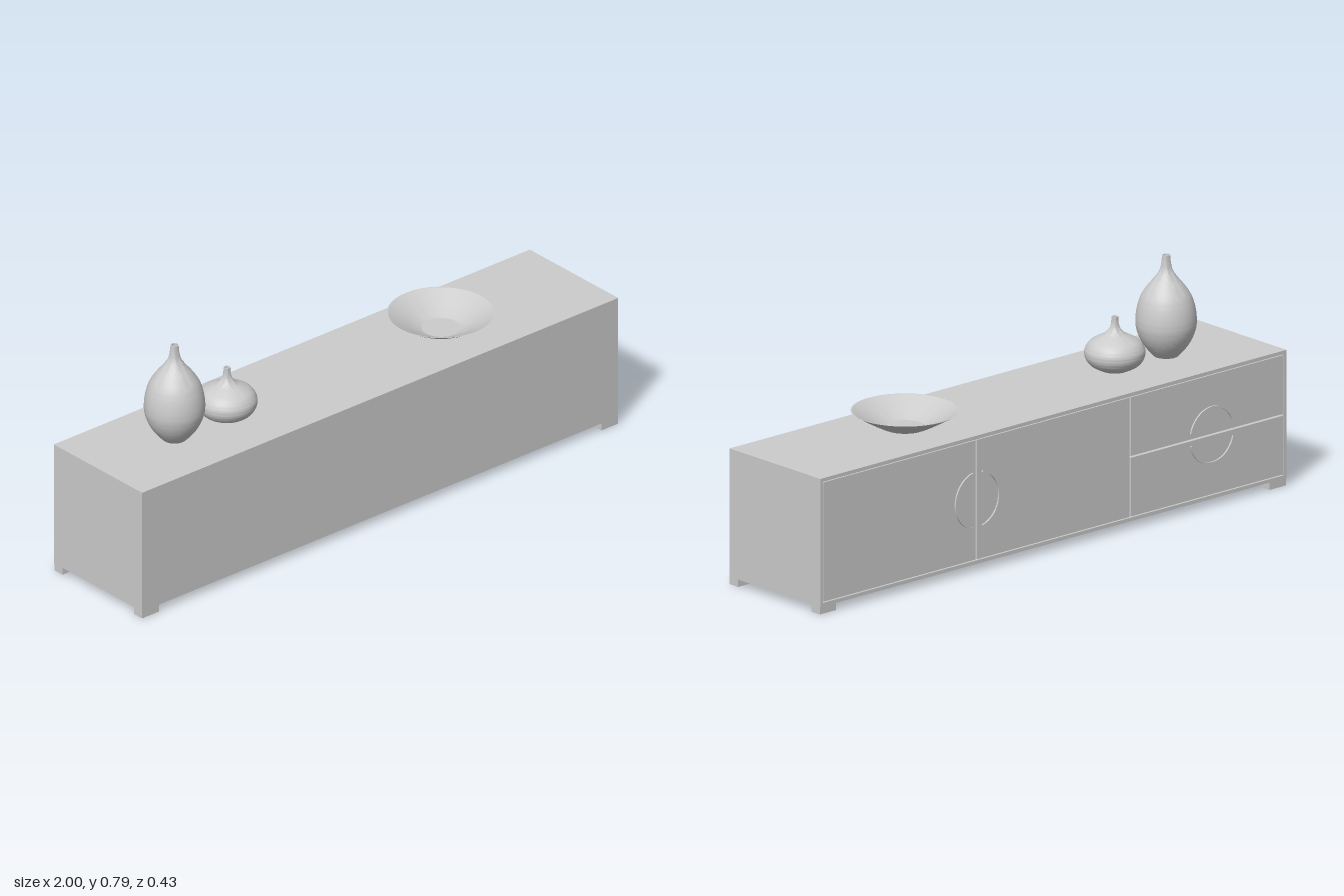
import * as THREE from 'three';
import { toCreasedNormals } from 'three/addons/utils/BufferGeometryUtils.js';

const material = new THREE.MeshStandardMaterial({ color: 0xcccccc });
const thin = new THREE.MeshStandardMaterial({ color: 0xcccccc, side: THREE.DoubleSide });

const FRONT = 0.217, BACK = -0.2125, BOTTOM = 0.025, TOP = 0.453;
const RIM = 0.012, GAP = 0.006, CORE_BACK = -0.196;

export function createModel() {
  const model = new THREE.Group();
  model.name = 'sideboard';

  const add = (parent, name, geometry, mat = material) => {
    const mesh = new THREE.Mesh(geometry, mat);
    mesh.name = name;
    parent.add(mesh);
    return mesh;
  };
  // Box given by its extents on each axis
  const box = (parent, name, x0, x1, y0, y1, z0, z1) => {
    const mesh = add(parent, name, new THREE.BoxGeometry(x1 - x0, y1 - y0, z1 - z0));
    mesh.position.set((x0 + x1) / 2, (y0 + y1) / 2, (z0 + z1) / 2);
  };

  // Cabinet body, with a raised rim around the door side
  const cabinet = new THREE.Group();
  cabinet.name = 'cabinet';
  model.add(cabinet);
  box(cabinet, 'body', -1, 1, BOTTOM, TOP, CORE_BACK, FRONT);

  const rect = (path, x, y0, y1) =>
    path.moveTo(-x, y0).lineTo(x, y0).lineTo(x, y1).lineTo(-x, y1).closePath();
  const rimShape = rect(new THREE.Shape(), 1, BOTTOM, TOP);
  rimShape.holes.push(rect(new THREE.Path(), 1 - RIM, BOTTOM + RIM, TOP - RIM));
  const rim = add(cabinet, 'rim', new THREE.ExtrudeGeometry(rimShape, { depth: CORE_BACK - BACK, bevelEnabled: false }));
  rim.position.z = BACK;

  // Two doors and two stacked drawers, separated by narrow grooves
  const low = BOTTOM + RIM + GAP / 2, high = TOP - RIM - GAP / 2;
  const side = 1 - RIM - GAP / 2, split = 0.33, mid = 0.239, g = GAP / 2;
  const panelBack = BACK + 0.001;
  const panel = (name, x0, x1, y0, y1) => box(cabinet, name, x0, x1, y0, y1, panelBack, CORE_BACK);
  panel('leftDoor', split + g, side, low, high);
  panel('middleDoor', -split + g, split - g, low, high);
  panel('upperDrawer', -side, -split - g, mid + g, high);
  panel('lowerDrawer', -side, -split - g, low, mid - g);

  // Each pair of handles forms a split ring across a groove
  const handle = (name, x, start) => {
    const open = 0.22, a = start + open, b = start + Math.PI - open;
    const arc = new THREE.Shape();
    arc.absarc(0, 0, 0.096, a, b, false);
    arc.absarc(0, 0, 0.09, b, a, true);
    const mesh = add(cabinet, name, new THREE.ExtrudeGeometry(arc, { depth: 0.006, bevelEnabled: false, curveSegments: 24 }));
    mesh.position.set(x, mid, -0.217);
  };
  handle('leftDoorHandle', split - 0.003, -Math.PI / 2);
  handle('middleDoorHandle', split - 0.003, Math.PI / 2);
  handle('upperDrawerHandle', -0.68, 0);
  handle('lowerDrawerHandle', -0.68, Math.PI);

  // Low corner feet
  for (const s of [-1, 1]) {
    const x0 = s < 0 ? -1 : 0.93, x1 = x0 + 0.07;
    box(cabinet, 'frontFoot', x0, x1, 0, BOTTOM, 0.177, FRONT);
    box(cabinet, 'backFoot', x0, x1, 0, BOTTOM, -0.21, -0.17);
  }

  // Turned objects standing on the top
  const turned = (name, x, geometry) => {
    const mesh = add(model, name, geometry, thin);
    mesh.position.set(x, TOP, 0.004);
  };
  const vase = (name, x, outline) => {
    const curve = new THREE.SplineCurve(outline.map(([r, y]) => new THREE.Vector2(r, y - TOP)));
    const [r, y] = outline[outline.length - 1];
    const points = [
      new THREE.Vector2(0, 0),
      ...curve.getPoints(48),
      new THREE.Vector2(r - 0.004, y - TOP),
      new THREE.Vector2(r - 0.004, y - TOP - 0.05),
      new THREE.Vector2(0, y - TOP - 0.05),
    ];
    turned(name, x, toCreasedNormals(new THREE.LatheGeometry(points, 48), 0.7));
  };
  vase('tallVase', -0.68, [
    [0.04, 0.453], [0.064, 0.48], [0.083, 0.51], [0.095, 0.543], [0.098, 0.575], [0.093, 0.615],
    [0.081, 0.652], [0.06, 0.685], [0.038, 0.712], [0.021, 0.738], [0.015, 0.765], [0.013, 0.788],
  ]);
  vase('shortVase', -0.46, [
    [0.045, 0.453], [0.077, 0.47], [0.093, 0.49], [0.098, 0.51], [0.094, 0.528], [0.08, 0.547],
    [0.055, 0.562], [0.034, 0.573], [0.018, 0.59], [0.012, 0.61], [0.011, 0.63],
  ]);

  // Shallow flared bowl with a flat centre
  const bowl = [
    [0, 0], [0.067, 0], [0.085, 0.008], [0.104, 0.018], [0.138, 0.037], [0.173, 0.058],
    [0.169, 0.058], [0.136, 0.04], [0.102, 0.022], [0.083, 0.012], [0.063, 0.004], [0, 0.004],
  ].map(([r, y]) => new THREE.Vector2(r, y));
  turned('bowl', 0.44, toCreasedNormals(new THREE.LatheGeometry(bowl, 64), 0.35));

  return model;
}
